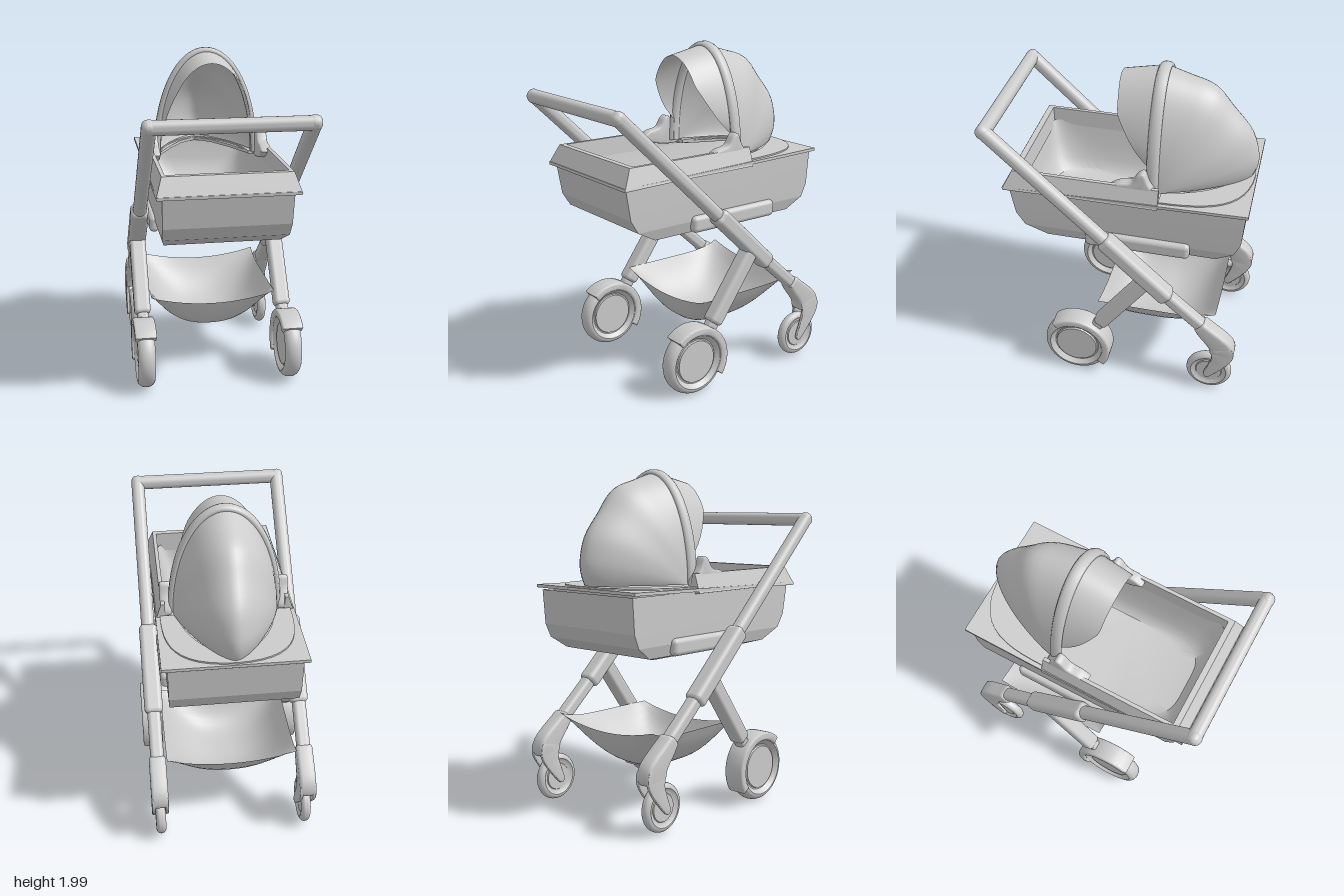
import * as THREE from 'three';
import { toCreasedNormals } from 'three/addons/utils/BufferGeometryUtils.js';
import { RoundedBoxGeometry } from 'three/addons/geometries/RoundedBoxGeometry.js';

const mat = new THREE.MeshStandardMaterial({ color: 0xcccccc, side: THREE.DoubleSide });
const V = (x, y, z) => new THREE.Vector3(x, y, z);

function add(parent, name, geo) {
  const m = new THREE.Mesh(geo, mat);
  m.name = name;
  parent.add(m);
  return m;
}

// Skin a list of cross-sections; optional closed rings and end caps
function loft(rows, closed = false, cap0 = false, cap1 = false, crease = 0.6) {
  const n = rows[0].length, pos = rows.flat(2), idx = [];
  for (let i = 0; i + 1 < rows.length; i++)
    for (let j = 0; j < (closed ? n : n - 1); j++) {
      const a = i * n + j, b = i * n + (j + 1) % n;
      idx.push(a, b, a + n, b, b + n, a + n);
    }
  const last = (rows.length - 1) * n;
  for (let j = 1; j + 1 < n; j++) {
    if (cap0) idx.push(0, j + 1, j);
    if (cap1) idx.push(last, last + j, last + j + 1);
  }
  const g = new THREE.BufferGeometry();
  g.setAttribute('position', new THREE.Float32BufferAttribute(pos, 3));
  g.setIndex(idx);
  return toCreasedNormals(g, crease);
}

// Rounded beam between two [z, y] points at a given x
function beam(parent, name, x, a, b, wx, wt, r) {
  const dz = b[0] - a[0], dy = b[1] - a[1];
  const m = add(parent, name, new RoundedBoxGeometry(wx, wt, Math.hypot(dz, dy), 4, r));
  m.position.set(x, (a[1] + b[1]) / 2, (a[0] + b[0]) / 2);
  m.rotation.x = -Math.atan2(dy, dz);
  return m;
}

// Side outline in (z, y), extruded across x
function plate(parent, name, shape, x, width, bevel = 0.01) {
  const d = width - 2 * bevel;
  const g = new THREE.ExtrudeGeometry(shape, { depth: d, bevelEnabled: bevel > 0, bevelSize: bevel,
    bevelThickness: bevel, bevelOffset: -bevel, bevelSegments: 3, curveSegments: 24 });
  g.translate(0, 0, -d / 2).rotateY(-Math.PI / 2);
  const m = add(parent, name, toCreasedNormals(g, 0.6));
  m.position.x = x;
}
const outline = pts => new THREE.Shape(pts.map(p => new THREE.Vector2(...p)));
const smooth = pts => new THREE.Shape(new THREE.SplineCurve(pts.map(p => new THREE.Vector2(...p))).getPoints(48));

// Wheel: rounded tyre with a recessed hub disc
function wheel(parent, name, x, y, z, r, hub, w) {
  const h = w / 2, e = r - hub, pts = [[0, -h * 0.7], [hub - 0.012, -h * 0.7], [hub - 0.008, -h * 0.5], [hub, -h * 0.5]];
  for (let i = 0; i <= 12; i++) {
    const a = Math.PI * i / 12;
    pts.push([hub + e * (0.4 + 0.6 * Math.sin(a)), -h * Math.cos(a)]);
  }
  pts.push([hub, h * 0.5], [hub - 0.008, h * 0.5], [hub - 0.012, h * 0.7], [0, h * 0.7]);
  const g = new THREE.LatheGeometry(pts.map(p => new THREE.Vector2(...p)), 48).rotateZ(Math.PI / 2);
  add(parent, name, toCreasedNormals(g, 0.7)).position.set(x, y, z);
}

function buildFrame(group) {
  const frame = new THREE.Group();
  frame.name = 'frame';
  group.add(frame);
  for (const s of [-1, 1]) {
    const x = s * 0.44, side = s > 0 ? 'left' : 'right';
    beam(frame, side + 'HandleTube', x, [0.75, 1.73], [0, 1.015], 0.08, 0.08, 0.035);
    beam(frame, side + 'Sleeve', x, [0.055, 1.07], [-0.34, 0.695], 0.11, 0.1, 0.03);
    beam(frame, side + 'CasterTube', x, [-0.3, 0.735], [-0.58, 0.485], 0.08, 0.075, 0.025);
    beam(frame, side + 'LowerLeg', x, [-0.2, 0.8], [0.085, 0.405], 0.1, 0.09, 0.025);
    beam(frame, side + 'LegEnd', x, [0.06, 0.44], [0.12, 0.35], 0.07, 0.07, 0.02);

    // Large wheel under a mudguard
    wheel(frame, side + 'LargeWheel', s * 0.445, 0.21, 0.23, 0.205, 0.14, 0.105);
    const guard = new THREE.Shape();
    guard.absarc(0.23, 0.21, 0.218, 0.84, 3.75, false);
    guard.absarc(0.23, 0.21, 0.168, 3.75, 0.84, true);
    plate(frame, side + 'Mudguard', guard, s * 0.445, 0.13, 0.012);

    // Small wheel held between two prongs of a curved fork
    wheel(frame, side + 'SmallWheel', x, 0.155, -0.61, 0.14, 0.09, 0.06);
    plate(frame, side + 'ForkHead', smooth([[-0.51, 0.5], [-0.56, 0.55], [-0.61, 0.52], [-0.73, 0.42],
      [-0.757, 0.34], [-0.73, 0.3], [-0.66, 0.31], [-0.615, 0.32], [-0.6, 0.37], [-0.54, 0.45], [-0.51, 0.5]]), x, 0.1, 0.02);
    for (const k of [-1, 1])
      plate(frame, side + 'ForkProng', smooth([[-0.61, 0.36], [-0.73, 0.39], [-0.757, 0.33], [-0.73, 0.26],
        [-0.65, 0.16], [-0.605, 0.12], [-0.58, 0.145], [-0.605, 0.22], [-0.625, 0.29], [-0.61, 0.36]]), x + k * 0.039, 0.022, 0.007);
  }
  add(frame, 'handleBar', new RoundedBoxGeometry(0.96, 0.08, 0.08, 4, 0.035)).position.set(0, 1.7, 0.72);
}

// Cloth basket slung between the legs
function buildBasket(group) {
  const rows = [], N = 24;
  for (let i = 0; i <= N; i++) {
    const v = 2 * i / N - 1, row = [];
    for (let j = 0; j <= N; j++) {
      const u = 2 * j / N - 1;
      const fu = Math.abs(u) ** 2.3, fv = Math.abs(v) ** (v > 0 ? 5 : 2.2);
      const rim = 0.46 + 0.055 * u * u + (v < 0 ? 0.045 * v ** 4 : 0);
      row.push([0.385 * u, 0.25 + (rim - 0.25) * (1 - (1 - fu) * (1 - fv)), -0.255 + 0.365 * v]);
    }
    rows.push(row);
  }
  add(group, 'basket', loft(rows, false, false, false, 0.8));
}

function buildCarrier(group) {
  const cot = new THREE.Group();
  cot.name = 'carrier';
  group.add(cot);

  // Faceted outer shell: [y, half width, front z, back z]
  const shell = [[1.31, 0.367, 0.635, -0.745], [1.11, 0.365, 0.6, -0.73], [1.03, 0.362, 0.55, -0.695],
    [0.96, 0.34, 0.42, -0.59], [0.935, 0.26, 0.28, -0.48], [0.922, 0.1, 0.12, -0.3]];
  add(cot, 'shell', loft(shell.map(([y, x, f, b]) => [[-x, y, f], [x, y, f], [x, y, b], [-x, y, b]]), true, false, true, 0.2));

  // Soft liner with a rounded floor
  const liner = [[1.33, 0.345, 0.575, -0.72, 0.1], [1.2, 0.325, 0.56, -0.71, 0.25], [1.1, 0.3, 0.54, -0.68, 0.35],
    [1.04, 0.275, 0.5, -0.64, 0.45], [1.02, 0.25, 0.4, -0.58, 0.5]];
  add(cot, 'liner', loft(liner.map(([y, w, f, b, e]) => Array.from({ length: 48 }, (_, i) => {
    const a = Math.PI * 2 * (i + 0.5) / 48, c = Math.cos(a), s = Math.sin(a);
    return [w * Math.sign(c) * Math.abs(c) ** e, y, (f + b) / 2 + (f - b) / 2 * Math.sign(s) * Math.abs(s) ** e];
  })), true, false, true, 0.6));

  // Thin flange, open over the cot and under the hood (shape y is -z)
  const flange = outline([[-0.4, -0.66], [0.4, -0.66], [0.4, 0.76], [-0.4, 0.76]]);
  flange.holes.push(new THREE.Path([[-0.345, -0.57], [-0.345, 0.24], [-0.28, 0.3], [-0.2, 0.46], [-0.1, 0.62],
    [0, 0.7], [0.1, 0.62], [0.2, 0.46], [0.28, 0.3], [0.345, 0.24], [0.345, -0.57]].map(p => new THREE.Vector2(...p))));
  const fg = new THREE.ExtrudeGeometry(flange, { depth: 0.018, bevelEnabled: false }).rotateX(-Math.PI / 2);
  const fm = add(cot, 'flange', fg);
  fm.position.y = 1.305;
  fm.rotation.x = 0.022;

  // Raised sloping collar around the foot end
  const section = (s, z) => [[0.403, 1.3, 0.66], [0.367, 1.41, 0.605], [0.345, 1.41, 0.57], [0.34, 1.29, 0.565]]
    .map(([x, y, f]) => [s * x, y, z === null ? f : z]);
  add(cot, 'collar', loft([section(-1, -0.25), section(-1, null), section(1, null), section(1, -0.25)], true, true, true, 0.2));

  // Raised hood seat with a rounded rear, and side mounts
  const seat = new THREE.Shape();
  seat.moveTo(-0.375, 0.25);
  seat.bezierCurveTo(-0.38, 0.55, -0.33, 0.74, 0, 0.75);
  seat.bezierCurveTo(0.33, 0.74, 0.38, 0.55, 0.375, 0.25);
  seat.lineTo(0.28, 0.25);
  seat.bezierCurveTo(0.26, 0.5, 0.1, 0.66, 0, 0.7);
  seat.bezierCurveTo(-0.1, 0.66, -0.26, 0.5, -0.28, 0.25);
  const sm = add(cot, 'hoodSeat', new THREE.ExtrudeGeometry(seat, { depth: 0.02, bevelEnabled: false }).rotateX(-Math.PI / 2));
  sm.position.y = 1.312;
  sm.rotation.x = 0.022;
  for (const s of [-1, 1]) {
    plate(cot, 'hoodHinge', smooth([[0.03, 1.39], [-0.02, 1.42], [-0.09, 1.435], [-0.13, 1.49], [-0.165, 1.5],
      [-0.19, 1.44], [-0.245, 1.35], [-0.2, 1.32], [-0.05, 1.34], [0.03, 1.39]]), s * 0.337, 0.065, 0.012);
    add(cot, 'frameMount', new RoundedBoxGeometry(0.06, 0.1, 0.62, 4, 0.028)).position.set(s * 0.365, 1.01, -0.13);
  }
}

function buildHood(group) {
  const hood = new THREE.Group();
  hood.name = 'hood';
  group.add(hood);
  const N = 40, W = 0.3, base = 1.345, arch = (f) => Array.from({ length: N + 1 }, (_, j) => f(Math.PI * j / N));

  // Rear cover: ribs fanning from the hinge, narrowing to a ridge
  const crown = new THREE.SplineCurve([[-0.2, 1.98], [-0.34, 1.94], [-0.49, 1.89], [-0.6, 1.77], [-0.71, 1.64],
    [-0.755, 1.51], [-0.757, 1.42], [-0.735, 1.35]].map(p => new THREE.Vector2(...p)));
  const ribs = crown.getPoints(24).map((p, i) => {
    const t = i / 24, pw = 2 - 0.5 * t, k = 2 - 0.8 * t, z0 = -0.2 - 0.04 * t;
    return arch(a => {
      const c = Math.cos(a), r = Math.max(0, 1 - Math.abs(c) ** pw) ** (1 / k);
      return [W * c, base + (p.y - base) * r, z0 + (p.x - z0) * r];
    });
  });
  add(hood, 'rearCover', loft(ribs, false, false, false, 0.8));

  // Visor reaching forward, its sides cut away in a curve
  const visor = Array.from({ length: 9 }, (_, i) => {
    const t = i / 8;
    return arch(a => {
      const y = base + (0.635 - 0.05 * t) * Math.sin(a);
      const reach = 0.22 * THREE.MathUtils.clamp((y - 1.5) / 0.27, 0, 1) ** 0.65;
      return [W * (1 - 0.06 * t) * Math.cos(a), y, -0.2 + t * (0.02 + 0.91 * reach + 0.02 * Math.sin(a) ** 4)];
    });
  });
  add(hood, 'visor', loft(visor, false, false, false, 0.8));

  // Flat hoop over the seam
  const hoop = new THREE.CatmullRomCurve3(arch(a => V(0.303 * Math.cos(a), base + 0.633 * Math.sin(a), 0)));
  const band = add(hood, 'hoop', new THREE.TubeGeometry(hoop, 64, 0.021, 10));
  band.scale.z = 1.7;
  band.position.z = -0.2;
}

export function createModel() {
  const group = new THREE.Group();
  group.name = 'stroller';
  buildFrame(group);
  buildBasket(group);
  buildCarrier(group);
  buildHood(group);
  return group;
}
